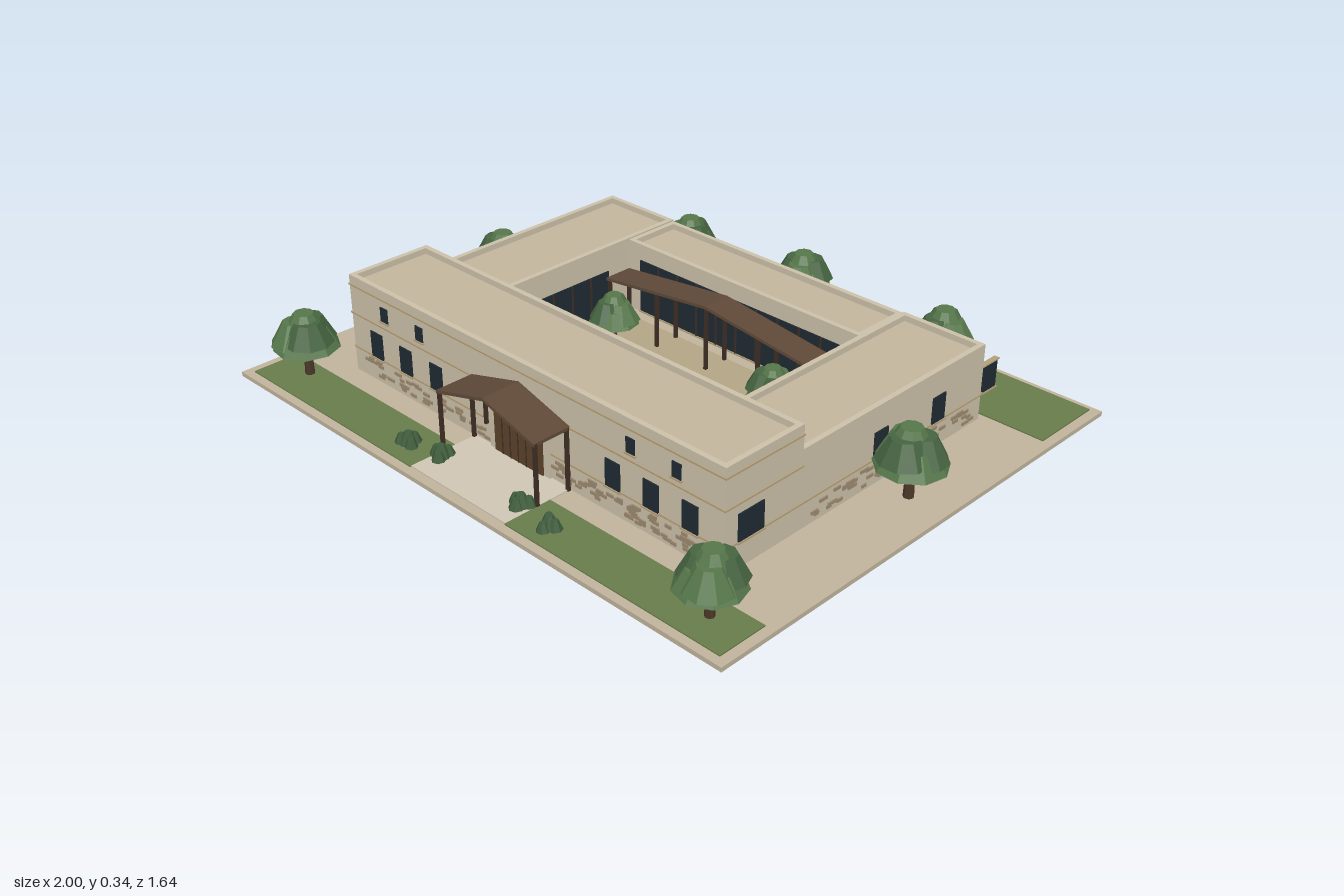
import * as THREE from 'three';

const mat = (color, flat = false) => new THREE.MeshStandardMaterial({ color, flatShading: flat });
const M = {
  wall: mat(0xcbbfa8), roof: mat(0xc3b59c), ground: mat(0xbfb39b), path: mat(0xcfc5b3),
  patio: mat(0xb3a484), trim: mat(0xb39f78), stone: mat(0x9c8a70), grass: mat(0x687c4a),
  wood: mat(0x5f4938), door: mat(0x5a4229), post: mat(0x3d2e24), glass: mat(0x1f2a33),
  water: mat(0x3f87a0), coping: mat(0xd2c9b8), trunk: mat(0x4a3628, true),
  leaf: mat(0x55764a, true), leafDark: mat(0x456340, true), bush: mat(0x3f5c3c, true),
};
const G = 0.014; // paving level

let seed = 7;
const rnd = () => (seed = (seed * 16807) % 2147483647) / 2147483647;

function add(parent, name, geo, material, x = 0, y = 0, z = 0) {
  const m = new THREE.Mesh(geo, material);
  m.name = name;
  m.position.set(x, y, z);
  parent.add(m);
  return m;
}

// Box given by its limits on each axis
function block(parent, name, material, x0, x1, y0, y1, z0, z1) {
  return add(parent, name, new THREE.BoxGeometry(x1 - x0, y1 - y0, z1 - z0), material,
    (x0 + x1) / 2, (y0 + y1) / 2, (z0 + z1) / 2);
}

function group(parent, name, x = 0, y = 0, z = 0, ry = 0) {
  const g = new THREE.Group();
  g.name = name;
  g.position.set(x, y, z);
  g.rotation.y = ry;
  parent.add(g);
  return g;
}

// Wing with a sunken flat roof behind a parapet
function wing(parent, name, x0, x1, z0, z1, h) {
  const g = group(parent, name), t = 0.017, d = 0.022;
  block(g, 'walls', M.wall, x0, x1, G, h - d, z0, z1);
  block(g, 'roofDeck', M.roof, x0 + t, x1 - t, h - d, h - d + 0.003, z0 + t, z1 - t);
  for (const [a, b] of [[z0, z0 + t], [z1 - t, z1]])
    block(g, 'parapet', M.wall, x0, x1, h - d, h, a, b);
  for (const [a, b] of [[x0, x0 + t], [x1 - t, x1]])
    block(g, 'parapet', M.wall, a, b, h - d, h, z0 + t, z1 - t);
}

// Glazed opening facing local +z, split by mullions
function windowPane(parent, name, x, y, z, ry, w, h, panes = 1) {
  const g = group(parent, name, x, y, z, ry);
  block(g, 'glass', M.glass, -w / 2, w / 2, -h / 2, h / 2, -0.004, 0.004);
  block(g, 'sill', M.trim, -w / 2 - 0.004, w / 2 + 0.004, -h / 2 - 0.005, -h / 2, -0.004, 0.007);
  for (let i = 1; i < panes; i++) {
    const mx = -w / 2 + (w * i) / panes;
    block(g, 'mullion', M.post, mx - 0.003, mx + 0.003, -h / 2, h / 2, 0.002, 0.007);
  }
}

// Scattered stone facing along a wall, local +z outwards
function stones(parent, x, z, ry, from, to, n, gap = 0) {
  const g = group(parent, 'stoneFacing', x, 0, z, ry);
  for (let i = 0; i < n; i++) {
    const s = from + (to - from) * rnd(), y = 0.03 + 0.05 * rnd(), w = 0.009 + 0.008 * rnd();
    if (Math.abs(s) > gap) block(g, 'stone', M.stone, s - w, s + w, y - 0.005, y + 0.005, -0.003, 0.004);
  }
}

// Shallow gabled canopy with its ridge along z
function canopy(parent, name, hw, eave, ridge, z0, z1, postXs) {
  const g = group(parent, name), t = 0.01;
  const s = new THREE.Shape([[-hw, eave], [0, ridge], [hw, eave], [hw, eave - t], [0, ridge - t], [-hw, eave - t]]
    .map(([x, y]) => new THREE.Vector2(x, y)));
  add(g, 'canopyRoof', new THREE.ExtrudeGeometry(s, { depth: z1 - z0, bevelEnabled: false }), M.wood, 0, 0, z0);
  for (const x of postXs) for (const z of [z0 + 0.008, z1 - 0.008]) {
    const top = ridge - (ridge - eave) * Math.abs(x) / hw - t / 2;
    block(g, 'post', M.post, x - 0.005, x + 0.005, G, top, z - 0.005, z + 0.005);
  }
  return g;
}

// Faceted tree: trunk and overlapping tapered leaf tiers
function tree(parent, x, z, k, turn) {
  const g = group(parent, 'tree', x, G, z, turn);
  g.scale.setScalar(k);
  add(g, 'trunk', new THREE.CylinderGeometry(0.01, 0.015, 0.13, 7), M.trunk, 0, 0.065, 0);
  const tiers = [[0, 0, 0.1, 0.065, 0.125, 0.06], [0.025, 0.015, 0.075, 0.04, 0.155, 0.065],
    [-0.022, 0.02, 0.075, 0.035, 0.145, 0.07], [0, -0.025, 0.072, 0.035, 0.15, 0.07], [0.004, 0.005, 0.066, 0.03, 0.177, 0.06]];
  tiers.forEach(([dx, dz, r, rt, y, h], i) => {
    const m = add(g, 'foliage', new THREE.CylinderGeometry(rt, r, h, 9), i % 2 ? M.leafDark : M.leaf, dx, y, dz);
    m.rotation.y = i * 0.8;
  });
}

function bush(parent, x, z, turn) {
  const g = group(parent, 'bush', x, G, z, turn);
  for (const [dx, dz, r] of [[0, 0, 0.03], [0.022, 0.008, 0.022], [-0.02, 0.01, 0.023], [0.003, -0.018, 0.024]])
    add(g, 'bushLeaves', new THREE.CylinderGeometry(r * 0.4, r, r * 1.4, 7), M.bush, dx, r * 0.7, dz);
}

export function createModel() {
  const root = new THREE.Group();
  root.name = 'courtyardHouse';

  // Grounds
  block(root, 'baseSlab', M.ground, -1, 1, 0, G, -0.82, 0.82);
  block(root, 'backLawn', M.grass, -0.97, 0.97, G, 0.018, -0.8, -0.555);
  for (const s of [-1, 1])
    add(root, 'frontLawn', new THREE.BoxGeometry(0.77, 0.004, 0.16), M.grass, s * 0.585, 0.016, 0.713);
  block(root, 'entrancePath', M.path, -0.2, 0.2, G, 0.018, 0.555, 0.79);

  // Courtyard paving and pool
  block(root, 'patio', M.patio, -0.41, 0.41, G, 0.017, -0.28, 0.11);
  block(root, 'poolCoping', M.coping, -0.195, 0.195, G, 0.022, -0.13, 0.085);
  block(root, 'poolWater', M.water, -0.175, 0.175, G, 0.024, -0.11, 0.067);

  // Four wings around the courtyard
  wing(root, 'frontWing', -0.765, 0.765, 0.265, 0.557, 0.335);
  wing(root, 'leftWing', 0.475, 0.765, -0.53, 0.265, 0.26);
  wing(root, 'rightWing', -0.765, -0.475, -0.53, 0.265, 0.26);
  wing(root, 'backWing', -0.475, 0.475, -0.53, -0.325, 0.255);

  // String courses
  for (const y of [0.21, 0.304])
    block(root, 'frontBand', M.trim, -0.768, 0.768, y - 0.0025, y + 0.0025, 0.263, 0.56);
  for (const s of [-1, 1]) {
    add(root, 'sideBand', new THREE.BoxGeometry(0.006, 0.005, 1.09), M.trim, s * 0.765, 0.095, 0.013);
    add(root, 'frontLowBand', new THREE.BoxGeometry(0.64, 0.005, 0.006), M.trim, s * 0.445, 0.095, 0.557);
  }

  // Front door and surround
  block(root, 'doorSurround', M.wall, -0.125, 0.125, G, 0.207, 0.555, 0.565);
  block(root, 'door', M.door, -0.1, 0.1, G, 0.19, 0.56, 0.569);
  for (let i = -2; i <= 2; i++)
    block(root, 'doorJoint', M.post, i * 0.033 - 0.0015, i * 0.033 + 0.0015, G, 0.19, 0.567, 0.571);

  // Windows, mirrored left and right
  for (const s of [-1, 1]) {
    const side = s * Math.PI / 2;
    for (const x of [0.367, 0.508, 0.648]) windowPane(root, 'frontWindow', s * x, 0.138, 0.557, 0, 0.055, 0.084);
    for (const x of [0.435, 0.6]) windowPane(root, 'upperWindow', s * x, 0.256, 0.557, 0, 0.032, 0.046);
    windowPane(root, 'frontWingSideWindow', s * 0.765, 0.138, 0.462, side, 0.096, 0.084);
    for (const z of [-0.06, -0.32]) windowPane(root, 'sideWindow', s * 0.765, 0.138, z, side, 0.058, 0.084);
    // Free panel standing clear of the back corner
    windowPane(root, 'endPanel', s * 0.755, 0.135, -0.582, side, 0.06, 0.09);
    block(root, 'endPanelCap', M.trim, s * 0.755 - 0.009, s * 0.755 + 0.009, 0.18, 0.184, -0.614, -0.53);
    windowPane(root, 'backWindow', s * 0.625, 0.138, -0.53, Math.PI, 0.13, 0.085, 2);
    windowPane(root, 'courtSideGlazing', s * 0.475, 0.1, -0.03, -side, 0.4, 0.15, 5);
    stones(root, s * 0.765, -0.13, side, -0.36, 0.36, 48);
  }
  stones(root, 0, 0.557, 0, -0.7, 0.7, 120, 0.14);

  // Courtyard glazing and clerestory
  windowPane(root, 'courtFrontGlazing', 0, 0.11, 0.265, Math.PI, 0.88, 0.18, 10);
  windowPane(root, 'courtBackGlazing', 0, 0.11, -0.325, 0, 0.84, 0.18, 10);
  windowPane(root, 'clerestory', 0, 0.25, 0.265, Math.PI, 0.7, 0.05, 8);

  // Entrance porch and courtyard veranda
  const porch = canopy(root, 'entrancePorch', 0.203, 0.215, 0.272, 0.557, 0.685, [-0.198, 0.198]);
  block(porch, 'kingPost', M.post, -0.004, 0.004, 0.19, 0.264, 0.67, 0.68);
  canopy(root, 'veranda', 0.427, 0.185, 0.235, -0.278, -0.178, [-0.42, -0.21, 0, 0.21, 0.42]);

  // Planting
  [[-0.52, -0.66, 0.98], [-0.06, -0.7, 1], [0.51, -0.69, 1], [-0.87, -0.13, 0.98], [0.87, -0.06, 1.07],
    [-0.84, 0.68, 1.03], [0.85, 0.7, 0.98], [-0.325, -0.11, 0.82], [0.34, -0.11, 0.82]]
    .forEach(([x, z, k], i) => tree(root, x, z, k, i * 1.3));
  [[-0.3, 0.72], [-0.18, 0.7], [0.165, 0.705], [0.295, 0.72]].forEach(([x, z], i) => bush(root, x, z, i * 1.7));

  return root;
}
